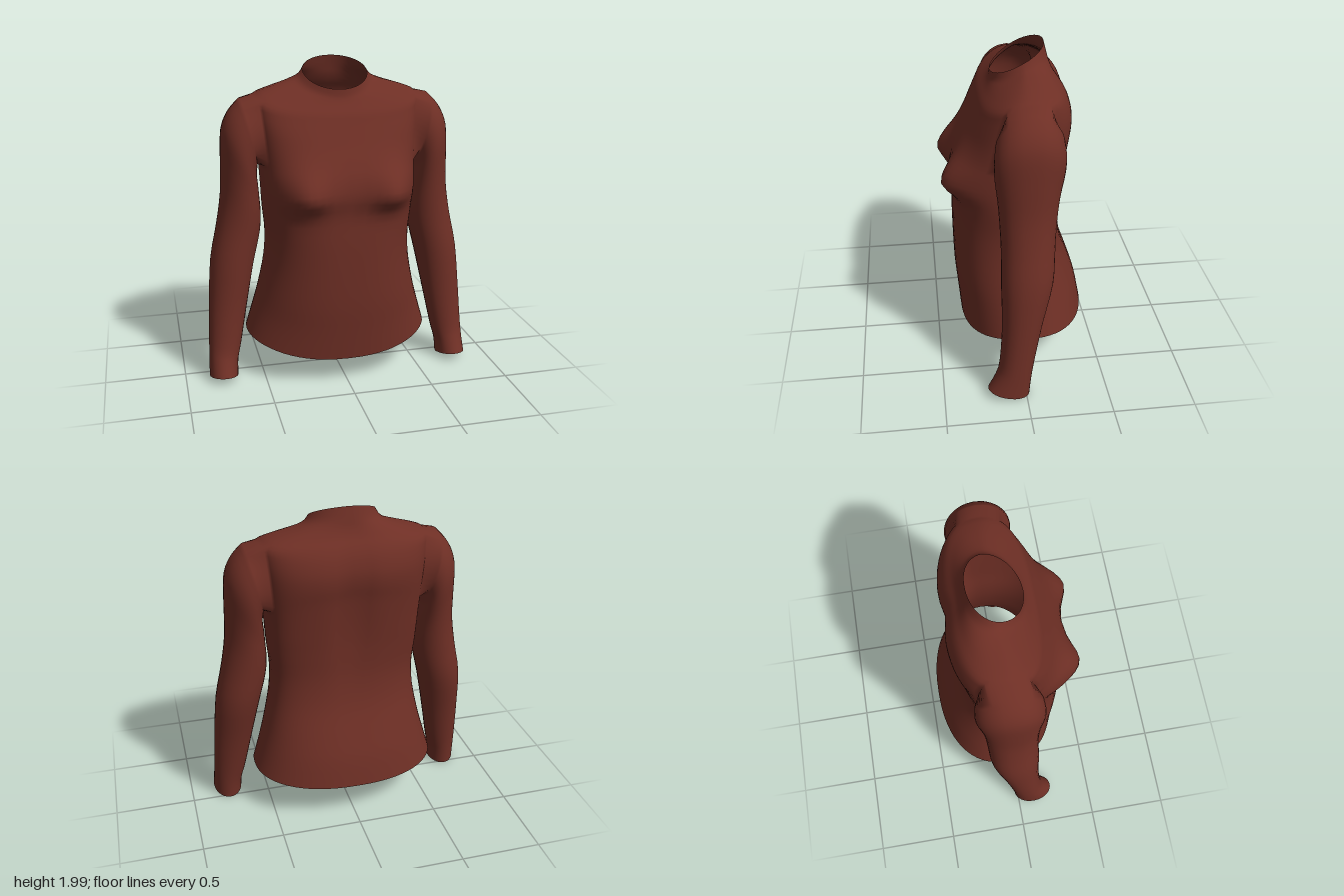
import * as THREE from 'three';

const N = 64;        // columns around the torso
const SUB = 3;       // rows per key section
const HALF = 4;      // half width of each armhole, in columns
const ARMPIT = 8, SHOULDER = 12; // key sections bounding the armholes
const CZ = -0.04;    // depth of the side seams

// Torso sections, hem to collar:
// y front, y side, y back, half width, z front, z back, squareness, y blend
const TORSO = [
  [0.17, 0.27, 0.25, 0.59, 0.345, -0.445, 2.3, 2],
  [0.35, 0.42, 0.42, 0.545, 0.36, -0.41, 2.3, 2],
  [0.53, 0.56, 0.57, 0.505, 0.375, -0.36, 2.4, 2],
  [0.75, 0.75, 0.75, 0.465, 0.38, -0.30, 2.5, 2],
  [0.93, 0.92, 0.93, 0.453, 0.38, -0.275, 2.6, 2],
  [1.10, 1.08, 1.10, 0.465, 0.375, -0.28, 2.8, 2],
  [1.22, 1.20, 1.22, 0.47, 0.385, -0.29, 3, 2],
  [1.33, 1.30, 1.35, 0.475, 0.37, -0.305, 3, 2],
  [1.42, 1.38, 1.47, 0.48, 0.335, -0.32, 3, 2],
  [1.50, 1.50, 1.56, 0.49, 0.295, -0.335, 3, 1.8],
  [1.57, 1.62, 1.64, 0.50, 0.26, -0.335, 3, 1.6],
  [1.64, 1.72, 1.72, 0.51, 0.225, -0.315, 2.9, 1.4],
  [1.69, 1.79, 1.78, 0.51, 0.20, -0.285, 2.7, 1.3],
  [1.735, 1.83, 1.83, 0.42, 0.165, -0.25, 2.4, 1.2],
  [1.765, 1.86, 1.88, 0.31, 0.145, -0.225, 2.2, 1.1],
  [1.79, 1.885, 1.93, 0.235, 0.135, -0.21, 2, 1],
  [1.83, 1.925, 2.00, 0.20, 0.13, -0.19, 2, 1],
];

// Sleeve sections, shoulder to cuff:
// outer x, outer y, inner x, inner y, z front, z back, y tilt
const SLEEVE = [
  [0.59, 1.775, 0.495, 1.36, 0.155, -0.235, 0],
  [0.66, 1.70, 0.50, 1.30, 0.165, -0.24, 0],
  [0.708, 1.59, 0.492, 1.24, 0.165, -0.23, 0],
  [0.72, 1.40, 0.485, 1.15, 0.15, -0.205, 0],
  [0.728, 1.20, 0.48, 1.05, 0.14, -0.19, 0],
  [0.76, 1.00, 0.49, 0.93, 0.135, -0.18, 0],
  [0.808, 0.77, 0.535, 0.74, 0.14, -0.165, 0],
  [0.83, 0.50, 0.59, 0.47, 0.14, -0.10, 0],
  [0.843, 0.25, 0.64, 0.22, 0.16, -0.05, 0],
  [0.848, 0.13, 0.665, 0.12, 0.19, -0.03, 0.015],
  [0.853, 0.035, 0.67, 0.03, 0.233, -0.02, 0.027],
];

// Smooth interpolation through key sections
function sample(keys, t) {
  const i = Math.min(Math.floor(t), keys.length - 2), f = t - i;
  const at = (k) => keys[Math.max(0, Math.min(keys.length - 1, k))];
  const [a, b, c, d] = [at(i - 1), at(i), at(i + 1), at(i + 2)];
  return b.map((v, k) => v + 0.5 * f * (c[k] - a[k]
    + f * (2 * a[k] - 5 * v + 4 * c[k] - d[k] + f * (3 * (v - c[k]) + d[k] - a[k]))));
}

const bell = (d, s) => Math.exp(-(d * d) / (s * s));

function torsoPoint(key, angle) {
  const [yF, yS, yB, w, zF, zB, n, blend] = key;
  const c = Math.cos(angle), s = Math.sin(angle), as = Math.abs(s);
  const x = w * Math.sign(c) * Math.abs(c) ** (2 / n);
  const y = yS + ((s > 0 ? yF : yB) - yS) * as ** blend;
  let z = CZ + ((s > 0 ? zF : zB) - CZ) * as ** (2 / n);
  if (s > 0) { // bust
    z += 0.1 * as * bell(Math.abs(x) - 0.28, 0.14) * bell(y - 1.225, y < 1.225 ? 0.085 : 0.15);
  } else {     // hollow along the spine
    z += 0.035 * bell(x, 0.09) * bell(y - 1.4, 0.4);
  }
  return [x, y, z];
}

export function createModel() {
  const pos = [];
  const parts = { torso: [], leftSleeve: [], rightSleeve: [] };
  const quad = (list, a, b, d, e, flip) => flip
    ? list.push(a, b, d, b, e, d) : list.push(a, d, b, b, d, e);

  // Torso grid, hem to collar, leaving two armholes open
  const rows = (TORSO.length - 1) * SUB;
  const r0 = ARMPIT * SUB, r1 = SHOULDER * SUB;
  const id = (r, c) => r * N + ((c + N) % N);
  for (let r = 0; r <= rows; r++) {
    const key = sample(TORSO, r / SUB);
    for (let c = 0; c < N; c++) pos.push(...torsoPoint(key, (c / N) * Math.PI * 2));
  }
  const inHole = (c) => {
    const near = (m) => Math.abs(((c + 0.5 - m + N * 1.5) % N) - N / 2) < HALF;
    return near(0) || near(N / 2);
  };
  for (let r = 0; r < rows; r++) {
    for (let c = 0; c < N; c++) {
      if (r >= r0 && r < r1 && inHole(c)) continue;
      quad(parts.torso, id(r, c), id(r, c + 1), id(r + 1, c), id(r + 1, c + 1), false);
    }
  }

  // Armhole edge as (row, column) pairs: bottom, front, top, back
  const edge = [];
  for (let c = -HALF; c < HALF; c++) edge.push([r0, c]);
  for (let r = r0; r < r1; r++) edge.push([r, HALF]);
  for (let c = HALF; c > -HALF; c--) edge.push([r1, c]);
  for (let r = r1; r > r0; r--) edge.push([r, -HALF]);

  // Sleeves grow from the armhole edges
  for (const side of [1, -1]) {
    const list = side > 0 ? parts.leftSleeve : parts.rightSleeve;
    let ring = edge.map(([r, c]) => id(r, side > 0 ? c : N / 2 - c));
    const phi = ring.map((v) => Math.atan2((pos[v * 3 + 2] - CZ) / 0.17, (pos[v * 3 + 1] - 1.585) / 0.205));
    const steps = (SLEEVE.length - 1) * SUB;
    for (let k = 0; k <= steps; k++) {
      const [ox, oy, ix, iy, zF, zB, tilt] = sample(SLEEVE, k / SUB);
      const next = phi.map((p) => {
        const c = Math.cos(p), s = Math.sin(p);
        pos.push(
          side * ((ox + ix) / 2 + ((ox - ix) / 2) * c),
          (oy + iy) / 2 + ((oy - iy) / 2) * c + tilt * s,
          (zF + zB) / 2 + ((zF - zB) / 2) * s);
        return pos.length / 3 - 1;
      });
      ring.forEach((v, i) => {
        const j = (i + 1) % ring.length;
        quad(list, v, ring[j], next[i], next[j], side < 0);
      });
      ring = next;
    }
  }

  // Shared normals keep the shoulder joins smooth
  const whole = new THREE.BufferGeometry();
  whole.setAttribute('position', new THREE.Float32BufferAttribute(pos, 3));
  whole.setIndex(Object.values(parts).flat());
  whole.computeVertexNormals();

  const cloth = new THREE.MeshStandardMaterial({ color: 0x6e2f25, side: THREE.DoubleSide });
  cloth.name = 'russet cloth';
  const group = new THREE.Group();
  group.name = 'longSleevedTop';
  for (const [name, index] of Object.entries(parts)) {
    const geometry = new THREE.BufferGeometry();
    geometry.setAttribute('position', whole.getAttribute('position'));
    geometry.setAttribute('normal', whole.getAttribute('normal'));
    geometry.setIndex(index);
    const mesh = new THREE.Mesh(geometry, cloth);
    mesh.name = name;
    group.add(mesh);
  }
  return group;
}
